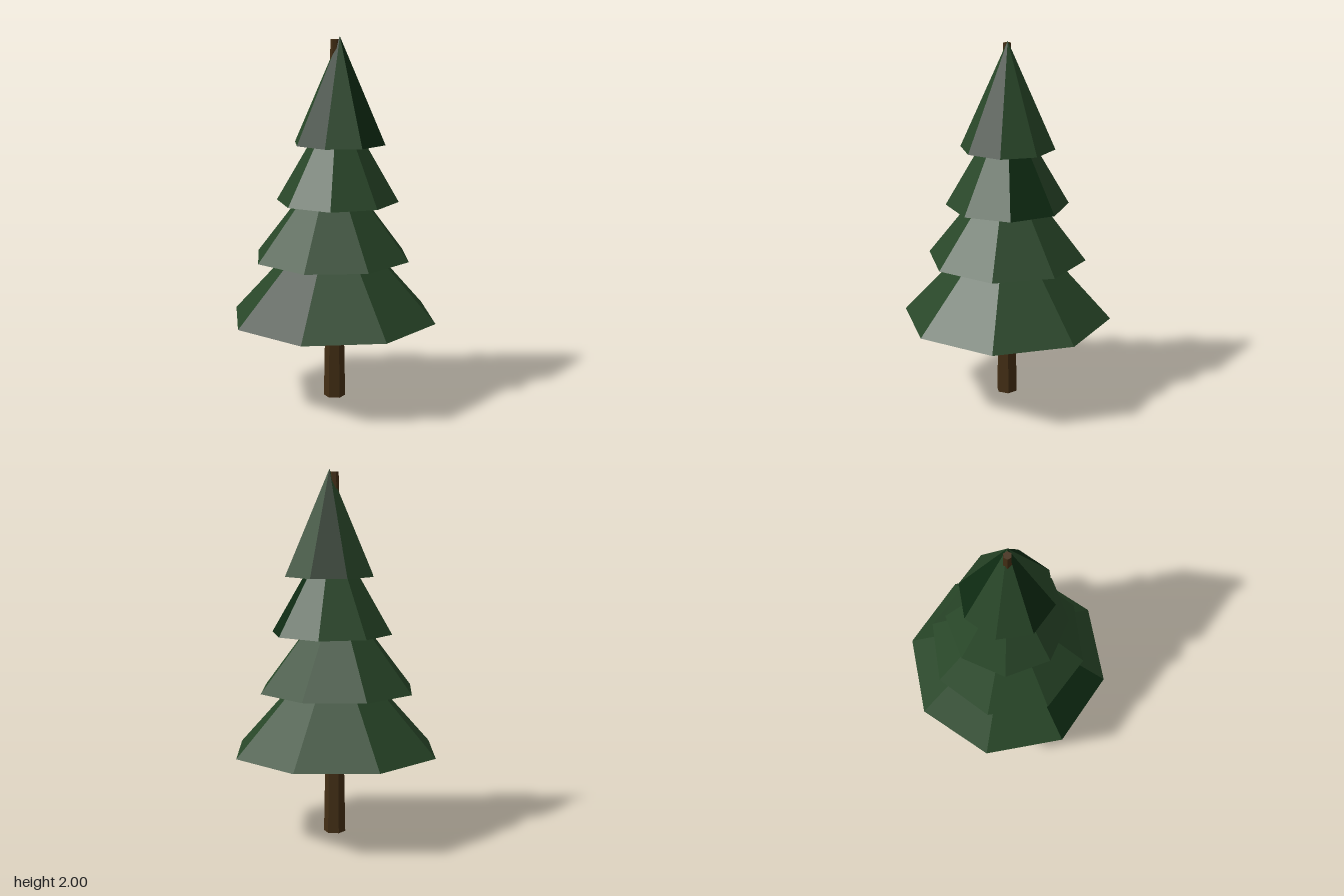
import * as THREE from 'three';

const mat = (name, color) =>
  new THREE.MeshStandardMaterial({ name, color, flatShading: true });

export function createModel() {
  const green = mat('needle green', 0x284628);
  const darkGreen = mat('dark needle green', 0x0e2a12);
  const brown = mat('bark brown', 0x432e14);

  const tree = new THREE.Group();
  tree.name = 'pineTree';

  // Tapered six-sided trunk running up to the tip
  const trunk = new THREE.Mesh(
    new THREE.CylinderGeometry(0.022, 0.06, 1.985, 6, 1, false, Math.PI / 2), brown);
  trunk.name = 'trunk';
  trunk.position.set(0.006, 0.9925, 0);
  tree.add(trunk);

  // Eight-sided branch tiers: x offset, base height, tip height, radius,
  // turn of the first corner from +x towards +z, and the sides in dark green
  const tiers = [
    { name: 'lowestTier', x: 0, base: 0.465, tip: 1.095, r: 0.578, turn: 14.6, dark: [2] },
    { name: 'lowerTier', x: -0.008, base: 0.805, tip: 1.365, r: 0.438, turn: 17.1, dark: [] },
    { name: 'upperTier', x: 0.022, base: 1.115, tip: 1.69, r: 0.334, turn: 4.4, dark: [7] },
    { name: 'topTier', x: 0.034, base: 1.43, tip: 2, r: 0.256, turn: 15.8, dark: [0, 2, 5] },
  ];
  const step = Math.PI / 4;

  for (const t of tiers) {
    const tier = new THREE.Group();
    tier.name = t.name;
    tier.position.set(t.x, t.base, 0);
    const turn = THREE.MathUtils.degToRad(t.turn);
    const height = t.tip - t.base;

    // Sloping sides, one flat face each
    for (let i = 0; i < 8; i++) {
      const start = Math.PI / 2 - turn - (i + 1) * step;
      const side = new THREE.Mesh(
        new THREE.ConeGeometry(t.r, height, 1, 1, true, start, step),
        t.dark.includes(i) ? darkGreen : green);
      side.name = 'branchSide';
      side.position.y = height / 2;
      tier.add(side);
    }

    // Flat underside
    const under = new THREE.Mesh(
      new THREE.CircleGeometry(t.r, 8, turn).rotateX(Math.PI / 2), darkGreen);
    under.name = 'underside';
    tier.add(under);
    tree.add(tier);
  }
  return tree;
}
